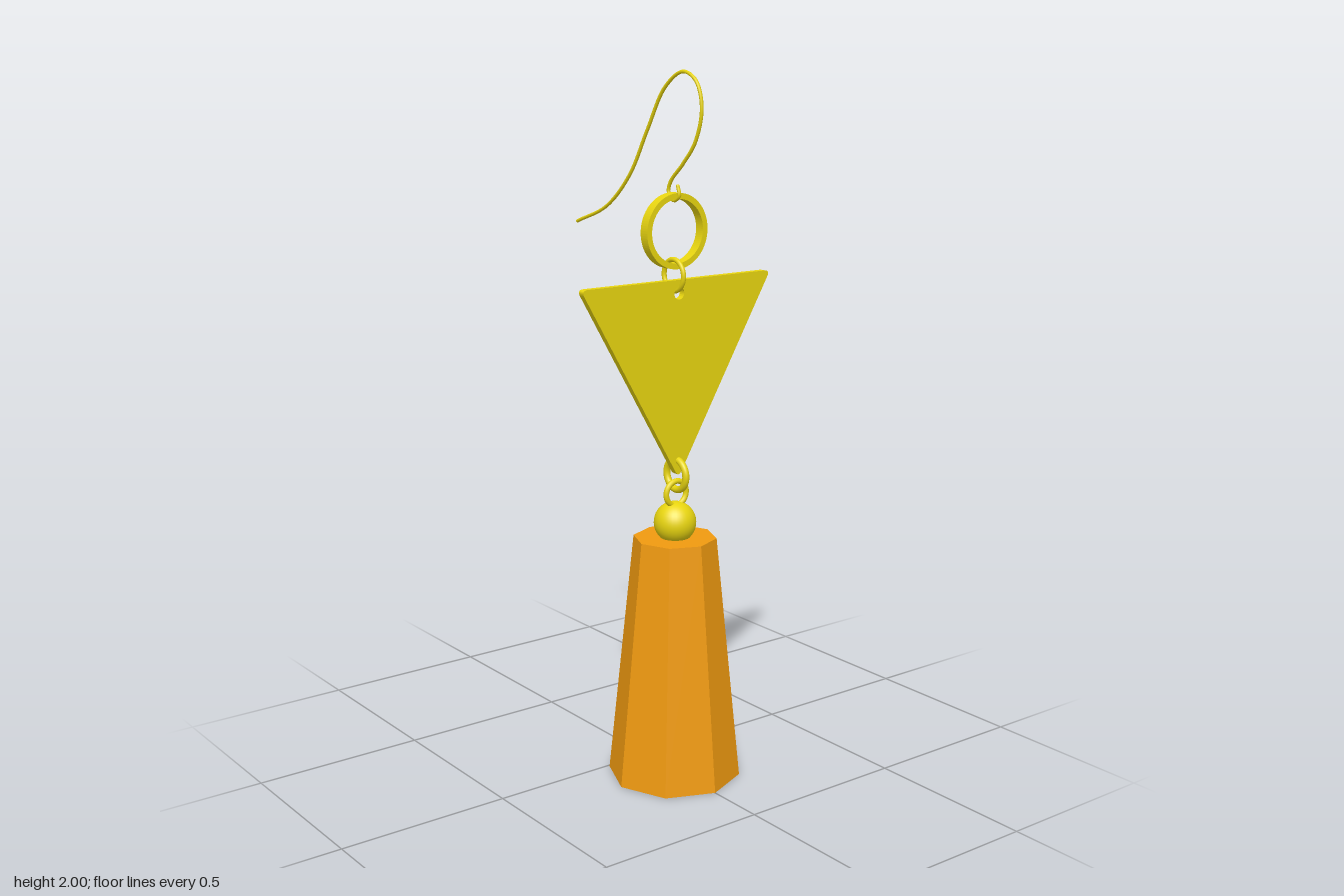
import * as THREE from 'three';

const gold = new THREE.MeshStandardMaterial({ color: 0xe8d510 });
const amber = new THREE.MeshStandardMaterial({ color: 0xf09a10, flatShading: true });

export function createModel() {
  const model = new THREE.Group();

  function add(name, geometry, x, y, material = gold) {
    const mesh = new THREE.Mesh(geometry, material);
    mesh.name = name;
    mesh.position.set(x, y, 0);
    model.add(mesh);
    return mesh;
  }

  // Tapered eight-sided pendant and the bead above it
  add('pendant', new THREE.CylinderGeometry(0.118, 0.19, 0.71, 8), 0.14, 0.355, amber);
  add('bead', new THREE.SphereGeometry(0.06, 32, 24), 0.14, 0.753);

  // Round connecting rings
  add('beadRing', new THREE.TorusGeometry(0.035, 0.008, 12, 40), 0.145, 0.838).rotation.y = Math.PI / 2;
  add('lowerRing', new THREE.TorusGeometry(0.043, 0.01, 12, 40), 0.145, 0.892);
  add('upperRing', new THREE.TorusGeometry(0.043, 0.007, 12, 40), 0.13, 1.45);

  // Triangular plate with softened corners and a hole near the top edge
  const corners = [[-0.325, 1.44], [0, 0.885], [0.325, 1.44]].map(p => new THREE.Vector2(...p));
  const shape = new THREE.Shape();
  corners.forEach((corner, i) => {
    const toward = other => corner.clone().add(other.clone().sub(corner).setLength(0.022));
    const start = toward(corners[(i + 2) % 3]);
    const end = toward(corners[(i + 1) % 3]);
    if (i === 0) shape.moveTo(start.x, start.y);
    else shape.lineTo(start.x, start.y);
    shape.quadraticCurveTo(corner.x, corner.y, end.x, end.y);
  });
  shape.closePath();
  const hole = new THREE.Path();
  hole.absarc(0, 1.403, 0.017, 0, Math.PI * 2, true);
  shape.holes.push(hole);
  const plate = new THREE.ExtrudeGeometry(shape, { depth: 0.02, bevelEnabled: false, curveSegments: 10 });
  plate.translate(0, 0, -0.01);
  add('trianglePlate', plate, 0.145, 0).rotation.y = Math.PI / 2;

  // Flat-sided band ring under the hook
  const band = new THREE.Shape();
  band.absarc(0, 0, 0.103, 0, Math.PI * 2, false);
  const bore = new THREE.Path();
  bore.absarc(0, 0, 0.087, 0, Math.PI * 2, true);
  band.holes.push(bore);
  const bandGeometry = new THREE.ExtrudeGeometry(band, { depth: 0.03, bevelEnabled: false, curveSegments: 48 });
  bandGeometry.translate(0, 0, -0.015);
  add('bandRing', bandGeometry, 0.132, 1.571).rotation.y = Math.PI / 2;

  // Ear wire with a small loop gripping the band ring
  const path = new THREE.CatmullRomCurve3([
    [-0.328, 1.557], [-0.18, 1.614], [-0.07, 1.71], [0.01, 1.835], [0.087, 1.95],
    [0.167, 1.994], [0.224, 1.968], [0.246, 1.9], [0.22, 1.813], [0.167, 1.752],
    [0.115, 1.703], [0.105, 1.675], [0.127, 1.652], [0.153, 1.667], [0.146, 1.692],
  ].map(([x, y]) => new THREE.Vector3(x, y, 0)));
  add('earWire', new THREE.TubeGeometry(path, 140, 0.005, 8), 0, 0);
  [0, 1].forEach(t => {
    const end = path.getPoint(t);
    add('earWireTip', new THREE.SphereGeometry(0.005, 8, 6), end.x, end.y);
  });

  return model;
}
